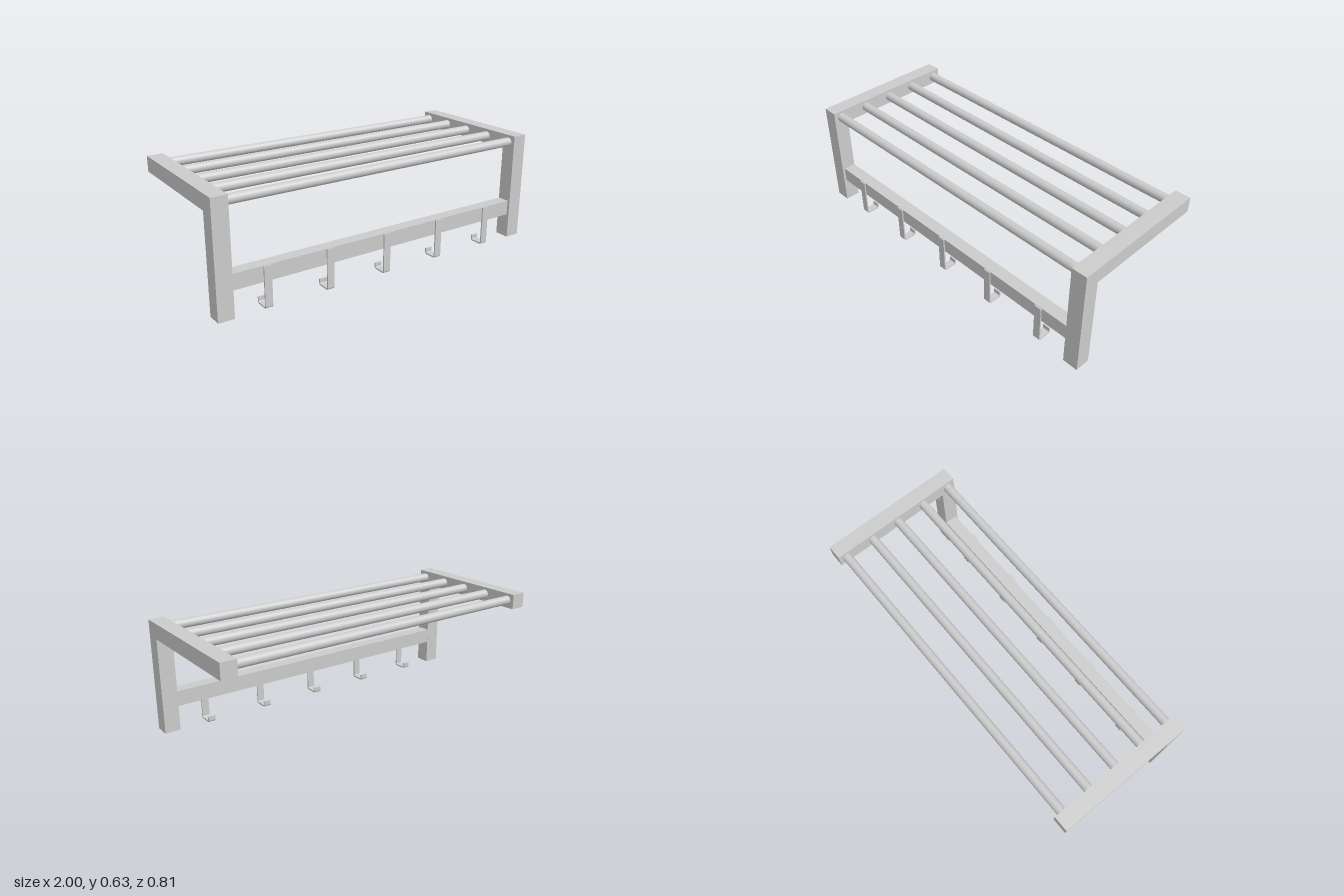
import * as THREE from 'three';

const grey = new THREE.MeshStandardMaterial({ color: 0xcccccc });

function add(parent, name, geometry, x = 0, y = 0, z = 0) {
  const mesh = new THREE.Mesh(geometry, grey);
  mesh.name = name;
  mesh.position.set(x, y, z);
  parent.add(mesh);
  return mesh;
}

// Upright post: solid front, with two blind screw holes drilled in from the back
function postBack(width, bottom, top, depth) {
  const shape = new THREE.Shape([
    new THREE.Vector2(-width / 2, bottom), new THREE.Vector2(width / 2, bottom),
    new THREE.Vector2(width / 2, top), new THREE.Vector2(-width / 2, top),
  ]);
  for (const y of [0.11, 0.45]) {
    shape.holes.push(new THREE.Path().absarc(0, y, 0.005, 0, Math.PI * 2, true));
  }
  return new THREE.ExtrudeGeometry(shape, { depth, bevelEnabled: false, curveSegments: 8 });
}

// J-shaped flat strip: down the rail front, under, and up at the rear; profile is (z, y)
function hookGeometry(width) {
  const front = 0.397, back = 0.313, top = 0.23, tip = 0.035, t = 0.008, r = 0.013;
  const s = new THREE.Shape();
  s.moveTo(front, top);
  s.lineTo(front - t, top);
  s.lineTo(front - t, r);
  s.absarc(front - r, r, r - t, 0, -Math.PI / 2, true);
  s.lineTo(back + r, t);
  s.absarc(back + r, r, r - t, -Math.PI / 2, -Math.PI, true);
  s.lineTo(back + t, tip);
  s.lineTo(back, tip);
  s.lineTo(back, r);
  s.absarc(back + r, r, r, Math.PI, Math.PI * 1.5, false);
  s.lineTo(front - r, 0);
  s.absarc(front - r, r, r, -Math.PI / 2, 0, false);
  s.closePath();
  const g = new THREE.ExtrudeGeometry(s, { depth: width, bevelEnabled: false, curveSegments: 6 });
  g.translate(0, 0, -width / 2);
  g.rotateY(-Math.PI / 2);
  return g;
}

export function createModel() {
  const model = new THREE.Group();
  model.name = 'wallShelfRack';

  // L-shaped side brackets
  for (const [side, sign] of [['left', 1], ['right', -1]]) {
    const bracket = new THREE.Group();
    bracket.name = side + 'Bracket';
    bracket.position.x = sign * 0.956;
    model.add(bracket);
    add(bracket, 'arm', new THREE.BoxGeometry(0.088, 0.087, 0.808), 0, 0.589, 0);
    add(bracket, 'postFront', new THREE.BoxGeometry(0.088, 0.542, 0.027), 0, 0.2745, 0.3905);
    add(bracket, 'postBack', postBack(0.088, 0.0035, 0.5455, 0.06), 0, 0, 0.317);
  }

  // Round shelf bars
  const barGeometry = new THREE.CylinderGeometry(0.026, 0.026, 1.824, 32);
  barGeometry.rotateZ(Math.PI / 2);
  for (let i = -2; i <= 2; i++) add(model, 'shelfBar', barGeometry, 0, 0.592, i * 0.178);

  // Cross rail and its hooks
  add(model, 'hookRail', new THREE.BoxGeometry(1.824, 0.087, 0.071), 0, 0.1885, 0.3535);
  const hook = hookGeometry(0.042);
  for (let i = -2; i <= 2; i++) add(model, 'hook', hook, i * 0.361, 0, 0);

  return model;
}
